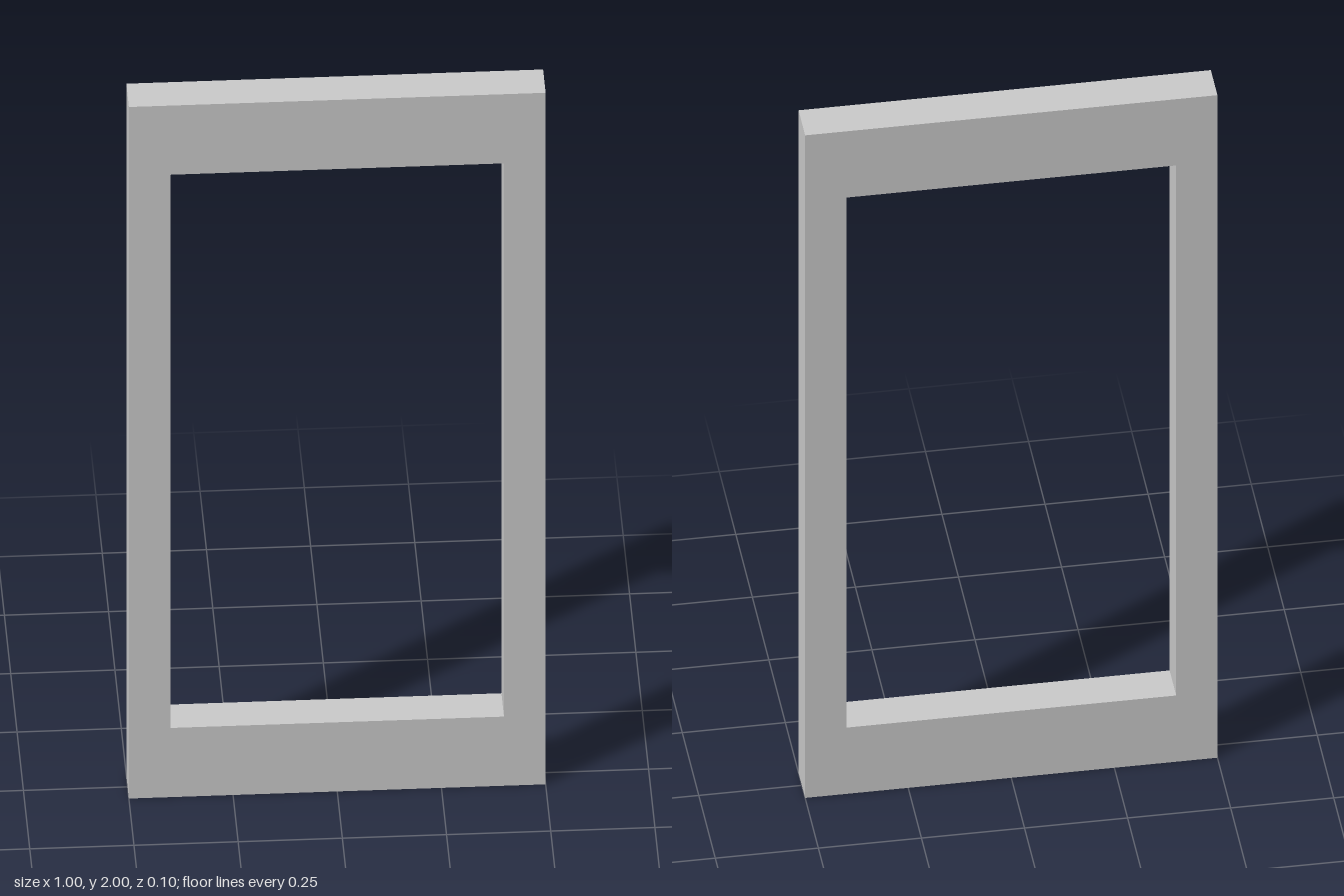
import * as THREE from 'three';

const WIDTH = 1, HEIGHT = 2, DEPTH = 0.1;
const STILE = 0.1; // width of the upright sides
const RAIL = 0.2; // height of the top and bottom

// Corners of an upright rectangle, counter-clockwise
const rectangle = (x0, y0, x1, y1) => [
  new THREE.Vector2(x0, y0),
  new THREE.Vector2(x1, y0),
  new THREE.Vector2(x1, y1),
  new THREE.Vector2(x0, y1),
];

export function createModel() {
  const group = new THREE.Group();
  group.name = 'rectangularFrame';

  // Flat frame with one rectangular opening
  const half = WIDTH / 2;
  const outline = new THREE.Shape(rectangle(-half, 0, half, HEIGHT));
  outline.holes.push(
    new THREE.Path(rectangle(-half + STILE, RAIL, half - STILE, HEIGHT - RAIL).reverse())
  );
  const geometry = new THREE.ExtrudeGeometry(outline, { depth: DEPTH, bevelEnabled: false });
  geometry.translate(0, 0, -DEPTH / 2);

  const frame = new THREE.Mesh(
    geometry,
    new THREE.MeshStandardMaterial({ color: 0xcccccc, flatShading: true })
  );
  frame.name = 'frame';
  group.add(frame);
  return group;
}
